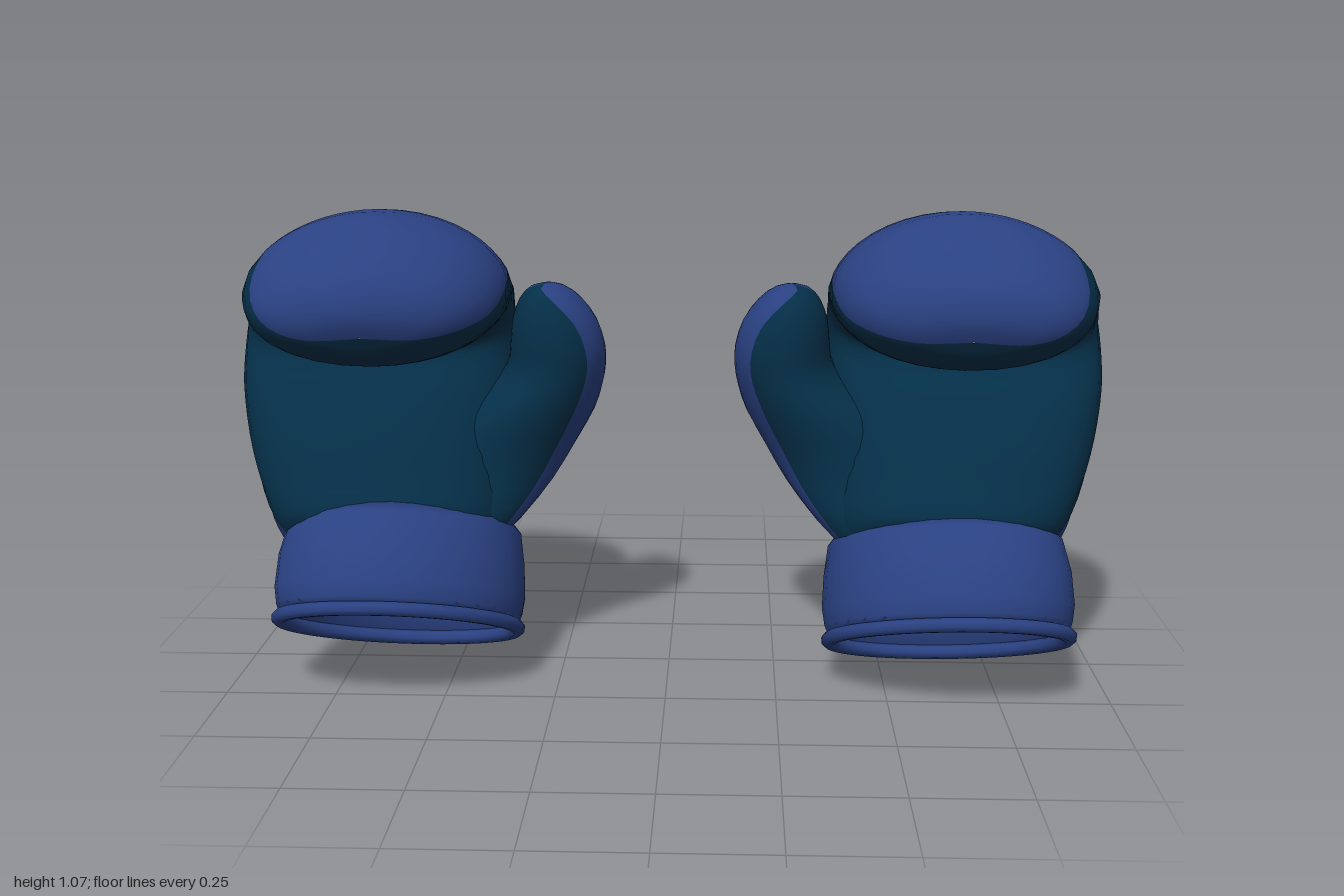
import * as THREE from 'three';

const blue = new THREE.MeshStandardMaterial({ color: 0x2a4182 });
blue.name = 'blue leather';
const teal = new THREE.MeshStandardMaterial({ color: 0x052f48 });
teal.name = 'teal palm';

const spline = (a, b, c, d, t) =>
  0.5 * (2 * b + (c - a) * t + (2 * a - 5 * b + 4 * c - d) * t * t + (3 * b - a - 3 * c + d) * t * t * t);

// Insert smooth in-between rows into a table of sections
function refine(rows, steps) {
  const out = [];
  const at = (i) => rows[Math.min(Math.max(i, 0), rows.length - 1)];
  for (let i = 0; i < rows.length - 1; i++)
    for (let k = 0; k < steps; k++)
      out.push(rows[i].map((v, n) => spline(at(i - 1)[n], v, at(i + 1)[n], at(i + 2)[n], k / steps)));
  out.push(rows[rows.length - 1]);
  return out;
}

// Skin closed sections {c, a, b, f, g, egg}: each runs from -a round to +a with half width b,
// widest point moved towards +a by egg. The first colour covers the fraction f of the depth
// on the +b side and g on the -b side, the second colour the rest.
function loft(sections, side) {
  const n1 = 9, n2 = 8, half = n1 + n2, ring = half * 2;
  const pos = [], first = [], second = [];
  for (const { c, a, b, f, g, egg } of sections) {
    const edges = [f, g].map((v) => {
      const d = 2 * Math.min(Math.max(v, 0.03), 0.985) - 1 - egg;
      return Math.acos((-2 * d) / (1 + Math.sqrt(1 - 4 * egg * d)));
    });
    for (let i = 0; i < ring; i++) {
      const j = i <= half ? i : ring - i;
      const edge = edges[i <= half ? 0 : 1];
      const t = j <= n1 ? (edge * j) / n1 : edge + ((Math.PI - edge) * (j - n1)) / n2;
      const s = Math.sin(t);
      const p = c.clone().addScaledVector(a, egg * s * s - Math.cos(t)).addScaledVector(b, i <= half ? s : -s);
      pos.push(p.x * side, p.y, p.z);
    }
  }
  for (let k = 0; k < sections.length - 1; k++)
    for (let i = 0; i < ring; i++) {
      const next = (i + 1) % ring;
      const p = k * ring + i, q = k * ring + next, u = p + ring, v = q + ring;
      const list = i < n1 || i >= ring - n1 ? first : second;
      if (side > 0) list.push(p, u, q, q, u, v);
      else list.push(p, q, u, q, v, u);
    }
  const geo = new THREE.BufferGeometry();
  geo.setAttribute('position', new THREE.Float32BufferAttribute(pos, 3));
  geo.setIndex([...first, ...second]);
  geo.addGroup(0, first.length, 0);
  geo.addGroup(first.length, second.length, 1);
  geo.computeVertexNormals();
  return geo;
}

// Section spanning a back point and a front point:
// [backZ, backY, frontZ, frontY, centreX, halfWidth, f, g, egg]
const spanSection = ([bz, by, fz, fy, cx, w, f = 0.5, g = 0.5, egg = 0], yaw, tilt) => ({
  c: new THREE.Vector3(cx, (by + fy) / 2, (bz + fz) / 2),
  a: new THREE.Vector3(0, (fy - by) / 2, (fz - bz) / 2),
  b: new THREE.Vector3(w, w * tilt, w * yaw),
  f, g, egg,
});
const handSection = (row) => spanSection(row, 0.1, 0);
const cuffYaw = 0.12, cuffTilt = 0.06;
const cuffSection = (row) => spanSection(row, cuffYaw, cuffTilt);

// Level thumb section: [y, minX, maxX, centreZ, radiusZ, f, g], its second colour facing the palm
const palmAngle = THREE.MathUtils.degToRad(48);
const thumbSection = ([y, x0, x1, cz, rz, f, g]) => {
  const rx = (x1 - x0) / 2, co = Math.cos(palmAngle), si = Math.sin(palmAngle);
  return {
    c: new THREE.Vector3((x0 + x1) / 2, y, cz),
    a: new THREE.Vector3(rx * co, 0, rz * si),
    b: new THREE.Vector3(rx * si, 0, -rz * co),
    f, g, egg: 0,
  };
};

// Mitten curling forward from the wrist to the fist
const handRows = [
  [-0.10, 0.215, 0.20, 0.385, 0.635, 0.25, 0.79, 0.79, 0.2],
  [-0.19, 0.29, 0.215, 0.42, 0.645, 0.265, 0.77, 0.77, 0.26],
  [-0.28, 0.41, 0.185, 0.49, 0.66, 0.288, 0.69, 0.72, 0.28],
  [-0.345, 0.55, 0.15, 0.57, 0.673, 0.305, 0.65, 0.62, 0.28],
  [-0.375, 0.70, 0.10, 0.66, 0.682, 0.315, 0.61, 0.5, 0.28],
  [-0.36, 0.83, 0.055, 0.72, 0.682, 0.315, 0.56, 0.4, 0.26],
  [-0.28, 0.95, 0.045, 0.745, 0.676, 0.31, 0.45, 0.35, 0.2],
  [-0.12, 1.055, 0.06, 0.748, 0.668, 0.304, 0.26, 0.4, 0.14],
  [0.04, 1.075, 0.10, 0.737, 0.662, 0.294, 0.25, 0.5, 0.1],
  [0.15, 1.035, 0.15, 0.742, 0.66, 0.268, 0.39, 0.6, 0.08],
  [0.22, 0.98, 0.20, 0.765, 0.66, 0.222, 0.58, 0.68, 0.08],
  [0.26, 0.93, 0.225, 0.78, 0.66, 0.17, 0.69, 0.72, 0.08],
  [0.272, 0.87, 0.24, 0.798, 0.66, 0.105, 0.72, 0.73, 0.08],
  [0.256, 0.825, 0.255, 0.823, 0.66, 0.002, 0.72, 0.73, 0.08],
];

const thumbRows = [
  [0.28, 0.43, 0.75, 0.05, 0.12, 0.6, 0.4],
  [0.36, 0.345, 0.75, 0.01, 0.155, 0.6, 0.4],
  [0.44, 0.275, 0.72, -0.055, 0.17, 0.6, 0.42],
  [0.52, 0.225, 0.65, -0.085, 0.175, 0.6, 0.45],
  [0.60, 0.18, 0.55, -0.088, 0.17, 0.6, 0.49],
  [0.66, 0.16, 0.44, -0.08, 0.152, 0.6, 0.52],
  [0.71, 0.151, 0.384, -0.068, 0.135, 0.6, 0.54],
  [0.76, 0.152, 0.372, -0.055, 0.125, 0.6, 0.56],
  [0.82, 0.17, 0.365, -0.045, 0.11, 0.64, 0.62],
  [0.87, 0.205, 0.347, -0.04, 0.086, 0.8, 0.78],
  [0.898, 0.243, 0.32, -0.037, 0.05, 0.95, 0.95],
  [0.907, 0.279, 0.281, -0.035, 0.002, 0.98, 0.98],
];

// Hollow cuff: from the floor of the opening, down, round the edge and up the outside
const cuffRows = [
  [0.099, 0.229, 0.101, 0.231, 0.638, 0.002],
  [-0.05, 0.15, 0.25, 0.31, 0.638, 0.21],
  [-0.045, 0.10, 0.31, 0.275, 0.64, 0.25],
  [-0.026, 0.03, 0.352, 0.224, 0.64, 0.266],
  [-0.06, 0.045, 0.354, 0.25, 0.64, 0.276],
  [-0.085, 0.085, 0.345, 0.285, 0.64, 0.282],
  [-0.105, 0.145, 0.30, 0.355, 0.64, 0.278],
  [-0.121, 0.215, 0.235, 0.413, 0.638, 0.265],
  [-0.11, 0.235, 0.205, 0.425, 0.638, 0.25],
  [0.04, 0.325, 0.042, 0.327, 0.638, 0.002],
];

// Rolled hem round the cuff opening
function rimGeometry(side) {
  const pts = [];
  for (let i = 0; i < 20; i++) {
    const t = (i / 20) * Math.PI * 2, x = 0.268 * Math.sin(t), c = Math.cos(t);
    pts.push(new THREE.Vector3(
      side * (0.64 + x), 0.122 + 0.102 * c + x * cuffTilt, 0.168 + 0.19 * c + x * cuffYaw));
  }
  return new THREE.TubeGeometry(new THREE.CatmullRomCurve3(pts, true), 48, 0.017, 8, true);
}

function makeGlove(side) {
  const glove = new THREE.Group();
  glove.name = side > 0 ? 'leftGlove' : 'rightGlove';
  const add = (name, geo, mat, parent = glove) => {
    const mesh = new THREE.Mesh(geo, mat);
    mesh.name = name;
    parent.add(mesh);
  };
  add('hand', loft(refine(handRows, 3).map(handSection), side), [blue, teal]);
  add('thumb', loft(refine(thumbRows, 2).map(thumbSection), side), [blue, teal]);
  const wrist = new THREE.Group();
  wrist.name = 'wrist';
  add('cuff', loft(cuffRows.map(cuffSection), side), blue, wrist);
  add('cuffRim', rimGeometry(side), blue, wrist);
  // One cuff sits slightly higher and closer in
  if (side < 0) wrist.position.set(0.025, 0.02, -0.005);
  glove.add(wrist);
  return glove;
}

export function createModel() {
  const model = new THREE.Group();
  model.name = 'boxingGloves';
  for (const side of [1, -1]) model.add(makeGlove(side));
  return model;
}
